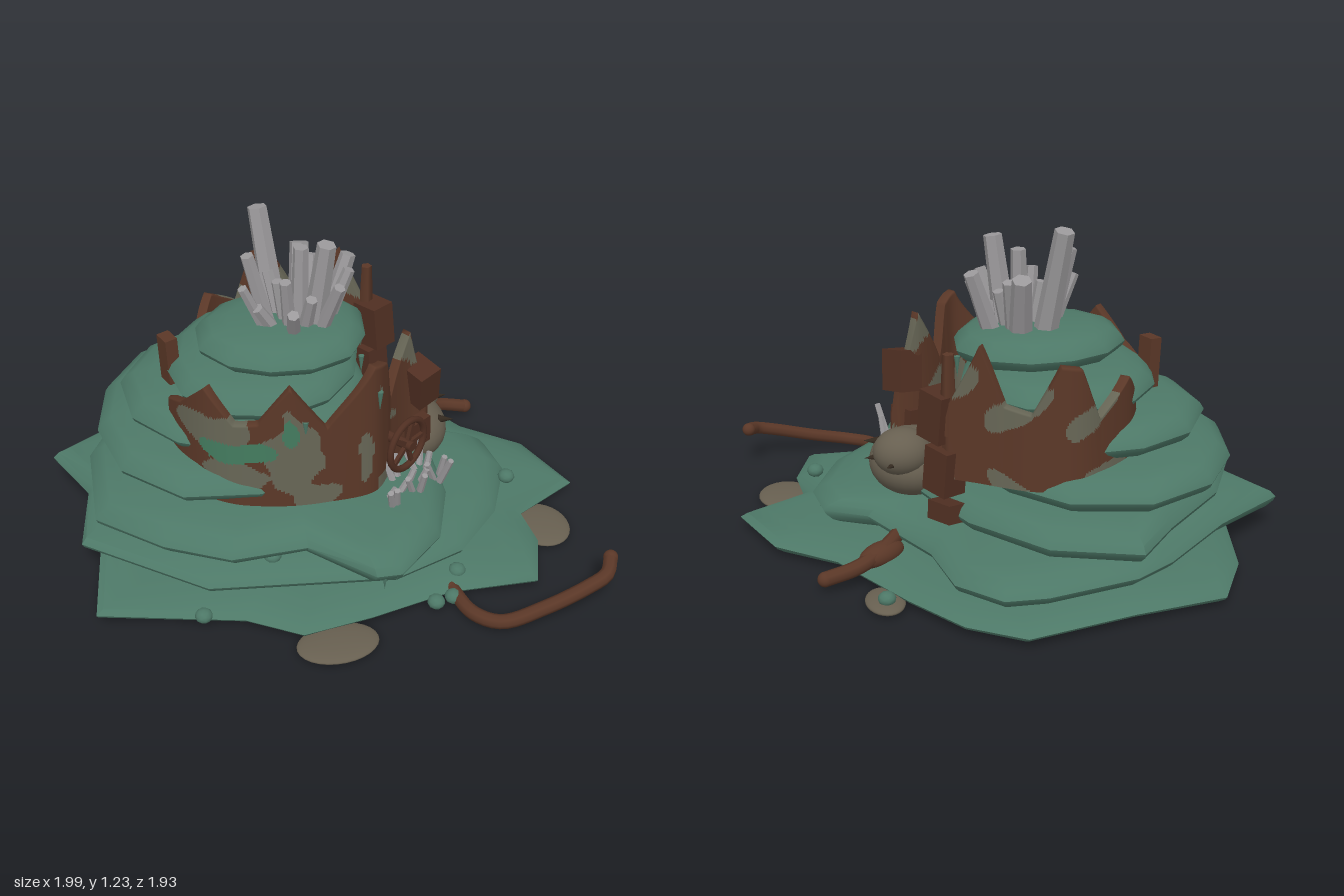
import * as THREE from 'three';
import { toCreasedNormals } from 'three/addons/utils/BufferGeometryUtils.js';

const mat = (name, color) => Object.assign(new THREE.MeshStandardMaterial({ color }), { name });
const V = (x, y, z) => new THREE.Vector3(x, y, z);

export function createModel() {
  const model = new THREE.Group();
  const moss = mat('moss green', 0x4d7867), rust = mat('rust brown', 0x5a3727);
  const wood = mat('dark brown', 0x502f22), grey = mat('weathered grey', 0x666555);
  const verdigris = mat('verdigris', 0x437a5e), crystal = mat('crystal grey', 0x9a989a);
  const stone = mat('stone tan', 0x675f50), dark = mat('spike dark', 0x33291f);
  const add = (name, geo, material, pos = [0, 0, 0], rot = [0, 0, 0], scale = [1, 1, 1]) => {
    const m = new THREE.Mesh(geo, material);
    m.name = name;
    m.position.set(...pos); m.rotation.set(...rot); m.scale.set(...scale);
    model.add(m);
    return m;
  };

  // Irregular slab from a plan outline; taper widens the slope of the upper rim
  const rim = [[0.09, 0], [0.035, 0.13], [0.008, 0.32], [0, 0.45], [0.015, 0.65], [0.05, 0.85], [0.11, 0.97]];
  function slab(outline, y0, y1, taper) {
    const n = outline.length, pos = [], idx = [];
    const cx = outline.reduce((s, p) => s + p[0], 0) / n, cz = outline.reduce((s, p) => s + p[1], 0) / n;
    const ang = p => Math.atan2(p[1] - cz, p[0] - cx);
    const pts = [...outline].sort((a, b) => ang(a) - ang(b));
    const rows = [[9, 0], ...rim, [9, 1]];
    for (const [inset, v] of rows) for (const [x, z] of pts) {
      const s = Math.max(0, 1 - inset * (v > 0.5 ? taper : 1) / Math.hypot(x - cx, z - cz));
      pos.push(cx + (x - cx) * s, y0 + (y1 - y0) * v, cz + (z - cz) * s);
    }
    for (let j = 0; j < rows.length - 1; j++) for (let i = 0; i < n; i++) {
      const a = j * n + i, b = j * n + (i + 1) % n;
      idx.push(a, a + n, b, b, a + n, b + n);
    }
    const g = new THREE.BufferGeometry();
    g.setAttribute('position', new THREE.Float32BufferAttribute(pos, 3));
    g.setIndex(idx);
    add('mossLayer', toCreasedNormals(g, 0.75), moss);
  }
  // Three wide lower layers
  slab([[-0.55, -0.9], [-0.2, -0.92], [0.2, -0.97], [0.38, -0.83], [0.52, -0.6], [0.7, -0.24], [0.9, -0.05], [0.99, 0.25], [0.72, 0.38],
    [0.72, 0.55], [0.63, 0.76], [0.3, 0.73], [-0.02, 0.78], [-0.28, 0.8], [-0.46, 0.67], [-0.97, 0.5], [-0.8, -0.35], [-0.7, -0.68]], 0.005, 0.09, 2);
  slab([[-1, -0.37], [-0.7, -0.53], [-0.4, -0.76], [-0.24, -0.84], [0.1, -0.88], [0.25, -0.86], [0.38, -0.7], [0.4, -0.45], [0.55, -0.08],
    [0.7, 0.02], [0.71, 0.2], [0.58, 0.44], [0.38, 0.62], [0.1, 0.7], [-0.57, 0.57], [-0.97, 0.2], [-0.9, -0.1]], 0.08, 0.2, 1.4);
  slab([[-0.91, 0.2], [-0.87, -0.2], [-0.7, -0.47], [-0.42, -0.7], [-0.25, -0.87], [0.05, -0.74], [0.26, -0.45], [0.34, -0.2], [0.42, 0.1],
    [0.39, 0.4], [0.28, 0.64], [0.08, 0.8], [-0.01, 0.79], [-0.2, 0.57], [-0.48, 0.56], [-0.7, 0.42]], 0.18, 0.31, 1.2);
  // Four upper layers, shrinking toward the top
  for (let k = 0; k < 4; k++) {
    const ring = Array.from({ length: 12 }, (_, i) => {
      const a = (i / 12) * Math.PI * 2 + k * 0.3, r = 0.985 + 0.05 * Math.sin(i * 5.1 + k * 2.3);
      return [-0.32 + 0.065 * k + Math.cos(a) * r * (0.54 - 0.073 * k), -0.18 + 0.04 * k + Math.sin(a) * r * (0.56 - 0.087 * k)];
    });
    slab(ring, 0.31 + 0.133 * k, 0.44 + 0.133 * k, 1.1);
  }

  // Jagged curved wall; stations are [x, z, top], faces coloured by a patch rule
  function wall(name, stations, bottom, patch) {
    const curve = new THREE.CatmullRomCurve3(stations.map(p => V(p[0], 0, p[1])));
    const N = (stations.length - 1) * 16, R = 44, W = 2 * R + 2;
    const pos = [], lists = [[], [], []];
    for (let i = 0; i <= N; i++) {
      const t = i / N, f = t * (stations.length - 1), k = Math.min(Math.floor(f), stations.length - 2);
      const top = THREE.MathUtils.lerp(stations[k][2], stations[k + 1][2], f - k);
      const p = curve.getPoint(t), d = curve.getTangent(t);
      const th = 0.025 * Math.min(1, Math.min(i, N - i) / 3);
      for (let j = 0; j < W; j++) {
        const outer = j <= R, v = outer ? j / R : (W - 1 - j) / R;
        const o = (outer ? th : -th) * (1.2 - 0.5 * v);
        pos.push(p.x - d.z * o, bottom + (top - bottom) * v, p.z + d.x * o);
      }
    }
    for (let i = 0; i < N; i++) for (let j = 0; j < W - 1; j++) {
      const a = i * W + j, b = a + W;
      lists[patch(pos[a * 3], pos[a * 3 + 1], pos[a * 3 + 2])].push(a, b, a + 1, b, b + 1, a + 1);
    }
    const g = new THREE.BufferGeometry();
    g.setAttribute('position', new THREE.Float32BufferAttribute(pos, 3));
    g.setIndex(lists.flat());
    let start = 0;
    lists.forEach((l, m) => { g.addGroup(start, l.length, m); start += l.length; });
    g.computeVertexNormals();
    add(name, g, [rust, grey, verdigris]);
  }
  const inside = (blobs, x, y) => blobs.some(([bx, by, rx, ry]) =>
    ((x - bx) / rx) ** 2 + ((y - by) / ry) ** 2 < 1 + 0.3 * Math.sin(x * 34 + y * 22) + 0.2 * Math.sin(y * 40 - x * 17));
  const greenBlobs = [[-0.4, 0.53, 0.12, 0.045], [-0.22, 0.61, 0.03, 0.06]];
  const greyBlobs = [[-0.46, 0.59, 0.1, 0.09], [-0.21, 0.51, 0.1, 0.17], [-0.4, 0.43, 0.12, 0.06], [-0.13, 0.34, 0.09, 0.07], [0.06, 0.46, 0.03, 0.1]];
  const camo = (x, y, z) => (Math.sin(x * 16 + z * 11 + 3 * Math.sin(y * 9)) + Math.sin(y * 19 - z * 14 + x * 6) > 0.7 ? 1 : 0);
  wall('frontWall', [[-0.57, 0, 0.6], [-0.54, 0.13, 0.66], [-0.48, 0.24, 0.78], [-0.4, 0.31, 0.65], [-0.32, 0.345, 0.66], [-0.21, 0.375, 0.81],
    [-0.08, 0.39, 0.63], [0.09, 0.38, 0.85], [0.15, 0.32, 0.82], [0.19, 0.26, 0.62], [0.29, 0.175, 0.84], [0.4, 0.14, 0.45]], 0.27,
  (x, y, z) => (x > 0.12 ? camo(x, y, z) : inside(greenBlobs, x, y) ? 2 : inside(greyBlobs, x, y) ? 1 : 0));
  wall('backWall', [[0.32, -0.32, 0.6], [0.2, -0.41, 0.89], [0.13, -0.47, 0.68], [0.05, -0.53, 0.66], [-0.04, -0.565, 0.84],
    [-0.11, -0.575, 0.83], [-0.18, -0.555, 0.63], [-0.32, -0.46, 0.74], [-0.4, -0.34, 0.6]], 0.38, camo);
  add('backPost', new THREE.CylinderGeometry(0.022, 0.035, 0.3, 5), rust, [0.295, 0.69, -0.33]);
  add('sideShard', new THREE.BoxGeometry(0.05, 0.25, 0.07), rust, [-0.54, 0.64, -0.15], [0, 0.3, 0.05]);

  // Hexagonal crystals between two points
  function prism(name, base, tip, r) {
    const d = tip.clone().sub(base), g = new THREE.CylinderGeometry(r * 0.8, r, d.length(), 6);
    const m = add(name, toCreasedNormals(g, 0.3), crystal, base.clone().lerp(tip, 0.5).toArray());
    m.quaternion.setFromUnitVectors(V(0, 1, 0), d.normalize());
  }
  const topCrystal = (x, y, z, r) =>
    prism('topCrystal', V(-0.07 + (x + 0.07) * 0.6, 0.81, -0.04 + (z + 0.04) * 0.5), V(x, y, z), r);
  topCrystal(-0.17, 1.22, -0.22, 0.047);
  topCrystal(0.025, 1.16, 0.03, 0.045);
  topCrystal(-0.01, 1.05, -0.22, 0.046);
  topCrystal(0.14, 1.05, -0.08, 0.037);
  topCrystal(-0.25, 1.11, -0.06, 0.032);
  topCrystal(-0.05, 1.12, -0.05, 0.036);
  topCrystal(-0.28, 1, -0.02, 0.024);
  // Shorter ring and core filling the cluster
  for (let i = 0; i < 12; i++) {
    const a = i * 0.52 - 0.6, s = i % 2 ? 1 : 0.55;
    topCrystal(-0.05 + 0.18 * s * Math.cos(a), 0.97 + 0.06 * Math.sin(i * 2.4), -0.02 + 0.15 * s * Math.sin(a), 0.028);
  }
  for (let i = 0; i < 16; i++) {
    const t = i / 15, s = Math.sin(i * 7.3), c = Math.cos(i * 4.1);
    const x = 0.13 + 0.26 * t, z = 0.45 - 0.15 * t + 0.06 * s;
    prism('smallCrystal', V(x, 0.27, z), V(x + 0.04 * c, 0.34 + 0.05 * Math.abs(s), z + 0.04 * s), 0.015);
  }

  // Round creature with spikes
  const ball = new THREE.SphereGeometry(1, 28, 18);
  add('creatureBody', ball, stone, [0.35, 0.3, 0.02], [0, 0, 0], [0.165, 0.125, 0.18]);
  add('creatureHead', ball, stone, [0.41, 0.38, -0.07], [0, 0, 0], [0.11, 0.09, 0.1]);
  const spike = new THREE.ConeGeometry(0.018, 0.06, 8);
  [[0.49, 0.11, -0.3], [0.52, -0.05, 0], [0.47, -0.15, 0.7]].forEach(([x, z, a]) =>
    add('spike', spike, dark, [x, 0.36, z], [0, a, -Math.PI / 2]));

  // Stacked crates beside each wall end
  const crate = (x, y, z, h, tilt) => add('crate', new THREE.BoxGeometry(0.1, h, 0.12), wood, [x, y, z], [tilt, 0.45, 0.08]);
  crate(0.345, 0.61, 0.18, 0.16, 0.2);
  crate(0.32, 0.4, 0.17, 0.12, 0.05);
  crate(0.32, 0.6, -0.29, 0.18, -0.1);
  crate(0.31, 0.4, -0.32, 0.17, -0.07);
  crate(0.3, 0.24, -0.33, 0.07, 0.1);

  // Valve wheel
  const wheel = new THREE.Group();
  wheel.name = 'valveWheel';
  wheel.add(new THREE.Mesh(new THREE.TorusGeometry(0.1, 0.013, 8, 28), wood));
  for (let i = 0; i < 5; i++) {
    const a = i * Math.PI * 0.4, s = new THREE.Mesh(new THREE.BoxGeometry(0.1, 0.016, 0.014), wood);
    s.position.set(Math.cos(a) * 0.05, Math.sin(a) * 0.05, 0);
    s.rotation.z = a;
    wheel.add(s);
  }
  wheel.position.set(0.235, 0.475, 0.375);
  wheel.rotation.y = 0.58;
  model.add(wheel);
  add('valveStem', new THREE.CylinderGeometry(0.02, 0.02, 0.16, 10), wood, [0.205, 0.475, 0.33], [Math.PI / 2, 0, -0.58]);

  // Bent pipes with capped ends
  function pipe(name, path, r) {
    add(name, new THREE.TubeGeometry(new THREE.CatmullRomCurve3(path), 30, r, 8), rust);
    [path[0], path.at(-1)].forEach(p => add(name + 'End', ball, rust, p.toArray(), [0, 0, 0], [r, r, r]));
  }
  pipe('frontPipe', [V(0.31, 0.035, 0.7), V(0.34, 0.035, 0.85), V(0.42, 0.035, 0.92), V(0.58, 0.07, 0.93),
    V(0.75, 0.12, 0.92), V(0.83, 0.145, 0.9), V(0.87, 0.165, 0.84)], 0.027);
  pipe('backRoot', [V(0.45, 0.12, -0.2), V(0.54, 0.11, -0.31), V(0.65, 0.08, -0.37), V(0.77, 0.05, -0.37)], 0.028);
  add('rootBase', ball, rust, [0.55, 0.09, -0.31], [0, 0.5, 0], [0.1, 0.045, 0.05]);

  // Flat stones, moss beads and drips
  const flatStone = (x, z, rx, rz) => add('flatStone', ball, stone, [x, 0.022, z], [0, 0, 0], [rx, 0.02, rz]);
  flatStone(-0.17, 0.85, 0.15, 0.1);
  flatStone(0.78, 0.44, 0.11, 0.13);
  flatStone(0.59, -0.54, 0.07, 0.1);
  const bead = new THREE.IcosahedronGeometry(0.033, 1);
  [[-0.6, 0.05, 0.61], [-0.32, 0.19, 0.52], [-0.02, 0.28, 0.62], [0.35, 0.07, 0.65], [0.23, 0.04, 0.76], [0.3, 0.04, 0.75],
    [0.68, 0.18, 0.3], [0.59, 0.05, -0.57], [0.25, 0.29, -0.2]].forEach(p => add('mossBead', bead, moss, p, [0, 0, 0], [1, 0.8, 1]));
  const drip = new THREE.ConeGeometry(0.012, 0.08, 8);
  [[-0.16, 0.63, 0.4], [0.04, 0.16, 0.73], [0.2, 0.55, -0.08], [0.19, 0.69, -0.06], [0.12, 0.7, 0.39]].forEach(p =>
    add('mossDrip', drip, moss, p, [Math.PI, 0, 0]));
  return model;
}
